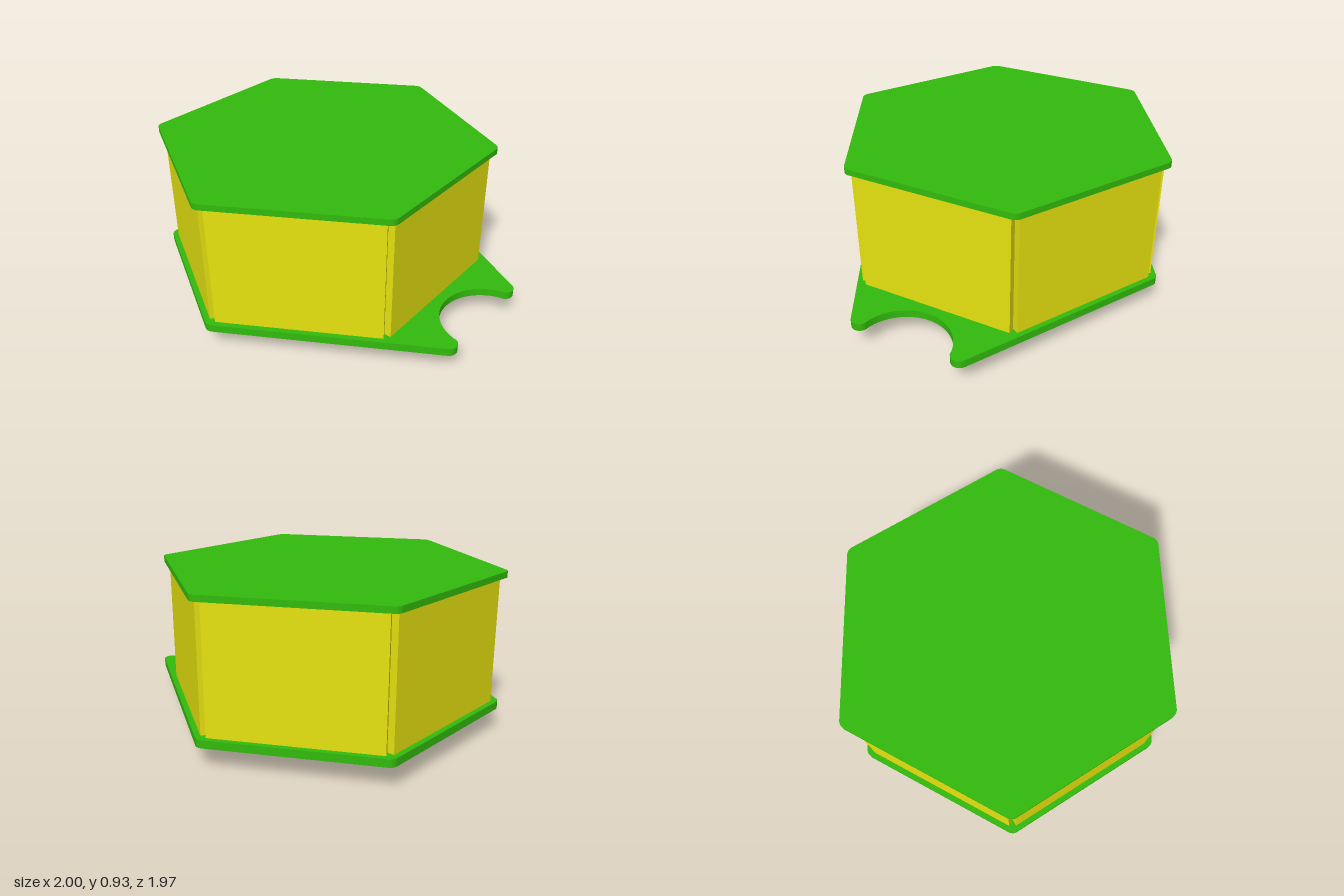
import * as THREE from 'three';
import { toCreasedNormals } from 'three/addons/utils/BufferGeometryUtils.js';

const green = new THREE.MeshStandardMaterial({ color: 0x33bb0d });
const yellow = new THREE.MeshStandardMaterial({ color: 0xe8e410 });
const rad = THREE.MathUtils.degToRad;

const CENTER_X = -0.14;   // centre of the hexagon
const APOTHEM = 0.86;     // centre to plate edge
const CORNER = 0.05;      // plate corner radius

function addMesh(parent, name, geometry, material) {
  const mesh = new THREE.Mesh(geometry, material);
  mesh.name = name;
  parent.add(mesh);
  return mesh;
}

// Rounded hexagon corner at the given angle (degrees)
function hexCorner(shape, deg) {
  const r = (APOTHEM - CORNER) / Math.cos(Math.PI / 6);
  shape.absarc(CENTER_X + r * Math.cos(rad(deg)), r * Math.sin(rad(deg)),
    CORNER, rad(deg - 30), rad(deg + 30), false);
}

// Flat slab lying between y0 and y1
function slab(shape, y0, y1) {
  const geometry = new THREE.ExtrudeGeometry(shape, { depth: y1 - y0, bevelEnabled: false, curveSegments: 24 });
  geometry.rotateX(-Math.PI / 2).translate(0, y0, 0);
  return toCreasedNormals(geometry, rad(30));
}

function lidShape() {
  const shape = new THREE.Shape();
  for (let deg = 30; deg < 390; deg += 60) hexCorner(shape, deg);
  shape.closePath();
  return shape;
}

// Hexagon whose right side runs out into two horns around a round notch
function baseShape() {
  const shape = new THREE.Shape();
  for (const deg of [90, 150, 210, 270]) hexCorner(shape, deg);
  const tipX = 0.95, tipY = 0.306, notchX = 1.015, notchR = 0.265;
  const t = Math.atan2(tipY, notchX - tipX);
  shape.absarc(tipX, -tipY, CORNER, rad(-60), t, false);
  shape.absarc(notchX, 0, notchR, t + Math.PI, Math.PI - t, true);
  shape.absarc(tipX, tipY, CORNER, -t, rad(60), false);
  shape.closePath();
  return shape;
}

// Snap foot: a three-cornered pad with three curved radial prongs
function makeFoot(name, x, turn) {
  const foot = new THREE.Group();
  foot.name = name;

  const pad = new THREE.Shape();
  const length = 0.18, half = 0.045;
  for (let i = 0; i < 3; i++) {
    const a = i * Math.PI * 2 / 3, c = Math.cos(a), s = Math.sin(a);
    for (const w of [-half, half]) {
      const px = length * c - w * s, py = length * s + w * c;
      if (i === 0 && w < 0) pad.moveTo(px, py);
      else pad.lineTo(px, py);
    }
  }
  pad.closePath();
  addMesh(foot, 'footPad', slab(pad, 0.09, 0.135), yellow);

  const profile = new THREE.Shape();
  profile.moveTo(0.077, 0.135);
  profile.lineTo(0.056, 0);
  profile.lineTo(0.08, 0.001);
  profile.bezierCurveTo(0.14, 0.008, 0.219, 0.045, 0.219, 0.088);
  profile.quadraticCurveTo(0.219, 0.11, 0.195, 0.135);
  profile.closePath();
  const thickness = 0.04;
  const blade = new THREE.ExtrudeGeometry(profile, { depth: thickness, bevelEnabled: false, curveSegments: 12 });
  blade.translate(0, 0, -thickness / 2);
  const prong = toCreasedNormals(blade, rad(30));
  for (let i = 0; i < 3; i++) {
    addMesh(foot, 'footProng', prong, yellow).rotation.y = i * Math.PI * 2 / 3;
  }

  foot.position.x = x;
  foot.rotation.y = turn;
  return foot;
}

export function createModel() {
  const model = new THREE.Group();
  model.name = 'hexagonalBox';

  addMesh(model, 'basePlate', slab(baseShape(), 0.13, 0.175), green);
  addMesh(model, 'topPlate', slab(lidShape(), 0.89, 0.925), green);

  // Six square-ended wall panels meeting at their inner corners
  const walls = new THREE.Group();
  walls.name = 'walls';
  walls.position.set(CENTER_X, 0.5325, 0);
  const thickness = 0.04, inner = 0.79;
  const panel = new THREE.BoxGeometry(thickness, 0.715, 2 * inner * Math.tan(Math.PI / 6));
  panel.translate(inner + thickness / 2, 0, 0);
  for (let i = 0; i < 6; i++) {
    addMesh(walls, 'wallPanel', panel, yellow).rotation.y = i * Math.PI / 3;
  }
  model.add(walls);

  // Mirrored feet, each with one prong pointing outward
  model.add(makeFoot('leftFoot', CENTER_X + 0.567, 0));
  model.add(makeFoot('rightFoot', CENTER_X - 0.567, Math.PI));
  return model;
}
